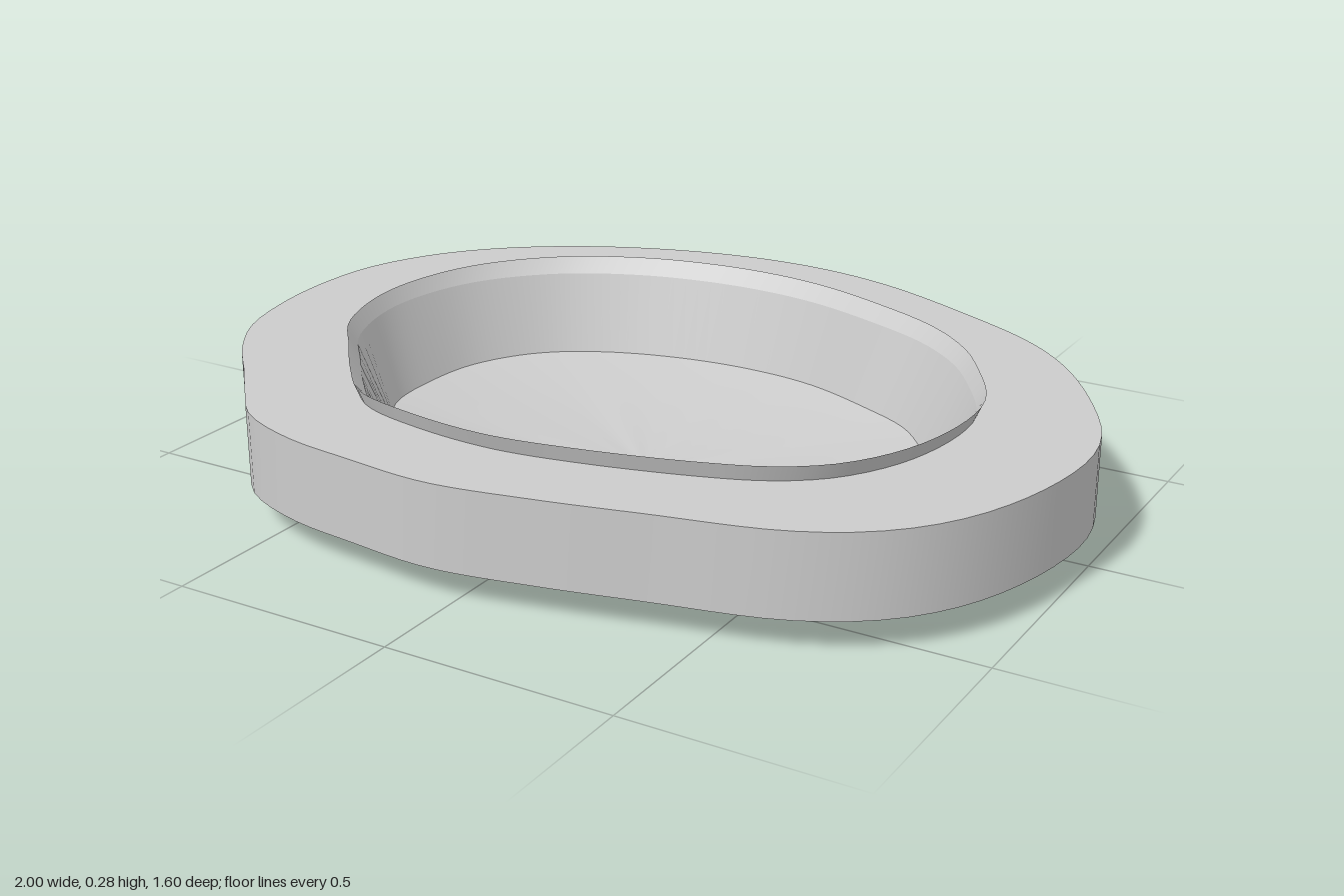
import * as THREE from 'three';
import { mergeGeometries } from 'three/addons/utils/BufferGeometryUtils.js';

const N = 120;                 // points around every outline
const CX = -0.03, CZ = 0.015;  // centre the outlines are sampled around

// Smooth closed outline through [x, z] points, resampled at equal angles about the centre
function outline(points) {
  const curve = new THREE.CatmullRomCurve3(
    points.map(([x, z]) => new THREE.Vector3(x - CX, 0, z - CZ)), true);
  const polar = curve.getPoints(720).slice(0, -1)
    .map(p => ({ a: Math.atan2(p.z, p.x), r: Math.hypot(p.x, p.z) }))
    .sort((p, q) => p.a - q.a);
  const first = polar[0], last = polar[polar.length - 1];
  polar.unshift({ a: last.a - 2 * Math.PI, r: last.r });
  polar.push({ a: first.a + 2 * Math.PI, r: first.r });
  const ring = [];
  for (let i = 0, k = 0; i < N; i++) {
    const a = -Math.PI + (i / N) * 2 * Math.PI;
    while (k < polar.length - 2 && polar[k + 1].a < a) k++;
    const p = polar[k], q = polar[k + 1];
    const r = THREE.MathUtils.lerp(p.r, q.r, (a - p.a) / (q.a - p.a || 1));
    ring.push([CX + r * Math.cos(a), CZ + r * Math.sin(a)]);
  }
  return ring;
}

const mixRings = (a, b, t) => a.map(([x, z], i) => [x + (b[i][0] - x) * t, z + (b[i][1] - z) * t]);
const atHeight = (ring, y) => ring.map(([x, z]) => [x, y, z]);

// Smooth skin through successive rings of [x, y, z]
function skin(rings) {
  const index = [];
  for (let j = 0; j < rings.length - 1; j++) {
    for (let i = 0; i < N; i++) {
      const i1 = (i + 1) % N;
      const a = j * N + i, a1 = j * N + i1, b = a + N, b1 = a1 + N;
      index.push(a, b, a1, a1, b, b1);
    }
  }
  const geometry = new THREE.BufferGeometry();
  geometry.setAttribute('position', new THREE.Float32BufferAttribute(rings.flat(2), 3));
  geometry.setIndex(index);
  geometry.computeVertexNormals();
  return geometry;
}

// One band per pair of rings, with sharp edges between bands
const bands = rings => mergeGeometries(rings.slice(1).map((r, i) => skin([rings[i], r])));

export function createModel() {
  const group = new THREE.Group();
  const add = (name, geometry, side = THREE.FrontSide) => {
    const mesh = new THREE.Mesh(geometry, new THREE.MeshStandardMaterial({ color: 0xcccccc, side }));
    mesh.name = name;
    group.add(mesh);
  };

  const deckEdge = outline([
    [-0.06, -0.8], [0.17, -0.765], [0.45, -0.65], [0.65, -0.54], [0.78, -0.42], [0.91, -0.23],
    [0.98, -0.08], [1, 0.06], [0.97, 0.26], [0.9, 0.43], [0.8, 0.55], [0.65, 0.64], [0.38, 0.71],
    [0.17, 0.76], [-0.05, 0.797], [-0.25, 0.78], [-0.42, 0.755], [-0.57, 0.695], [-0.665, 0.6],
    [-0.75, 0.505], [-0.86, 0.385], [-0.94, 0.26], [-0.985, 0.1], [-1, -0.07], [-0.98, -0.24],
    [-0.9, -0.41], [-0.76, -0.56], [-0.55, -0.69], [-0.3, -0.775]]);
  const rimEdge = outline([
    [-0.06, -0.6], [0.1, -0.58], [0.28, -0.52], [0.45, -0.44], [0.57, -0.34], [0.65, -0.23],
    [0.73, -0.08], [0.745, 0.06], [0.71, 0.24], [0.63, 0.38], [0.53, 0.46], [0.38, 0.52],
    [0.15, 0.58], [-0.04, 0.608], [-0.24, 0.59], [-0.4, 0.545], [-0.5, 0.45], [-0.6, 0.33],
    [-0.7, 0.2], [-0.757, 0], [-0.74, -0.18], [-0.68, -0.32], [-0.55, -0.46], [-0.38, -0.55],
    [-0.22, -0.59]]);
  const bowlEdge = outline([
    [-0.06, -0.51], [0.12, -0.49], [0.3, -0.42], [0.43, -0.35], [0.52, -0.25], [0.6, -0.14],
    [0.65, 0], [0.65, 0.1], [0.61, 0.25], [0.53, 0.36], [0.42, 0.43], [0.25, 0.48], [0.08, 0.515],
    [-0.07, 0.52], [-0.25, 0.505], [-0.38, 0.45], [-0.47, 0.33], [-0.57, 0.22], [-0.65, 0.11],
    [-0.667, -0.05], [-0.645, -0.2], [-0.56, -0.34], [-0.43, -0.43], [-0.25, -0.49]]);
  const lipEdge = rimEdge.map(([x, z]) => [x * 0.975, z * 0.942]);

  // Thick slab around the basin, open in the middle
  const low = 0.07, high = 0.25, rimY = 0.285, bowlY = 0.065;
  const seat = mixRings(bowlEdge, rimEdge, (high - bowlY) / (rimY - bowlY));
  add('deck', bands([
    atHeight(deckEdge, low), atHeight(deckEdge, high), atHeight(seat, high),
    atHeight(lipEdge, low), atHeight(deckEdge, low)]));

  // Flaring basin wall: outer skin, sloped lip, inner skin
  add('basinWall', bands([
    atHeight(bowlEdge, bowlY), atHeight(rimEdge, rimY),
    atHeight(lipEdge, 0.25), atHeight(bowlEdge, bowlY)]));

  // Shallow floor with faint radial creases
  const centre = bowlEdge.map(() => [CX, CZ]);
  const floorRings = [];
  for (let j = 0; j <= 16; j++) {
    const t = j / 16;
    floorRings.push(mixRings(centre, bowlEdge, t).map(([x, z], i) => {
      const a = (i / N) * 2 * Math.PI;
      const crease = Math.sin(9 * a) + 0.6 * Math.sin(16 * a + 1);
      return [x, 0.003 + (bowlY - 0.003) * t ** 1.6 + 0.004 * crease * t * (1 - t) ** 2, z];
    }));
  }
  add('basinFloor', skin(floorRings), THREE.DoubleSide);

  return group;
}
